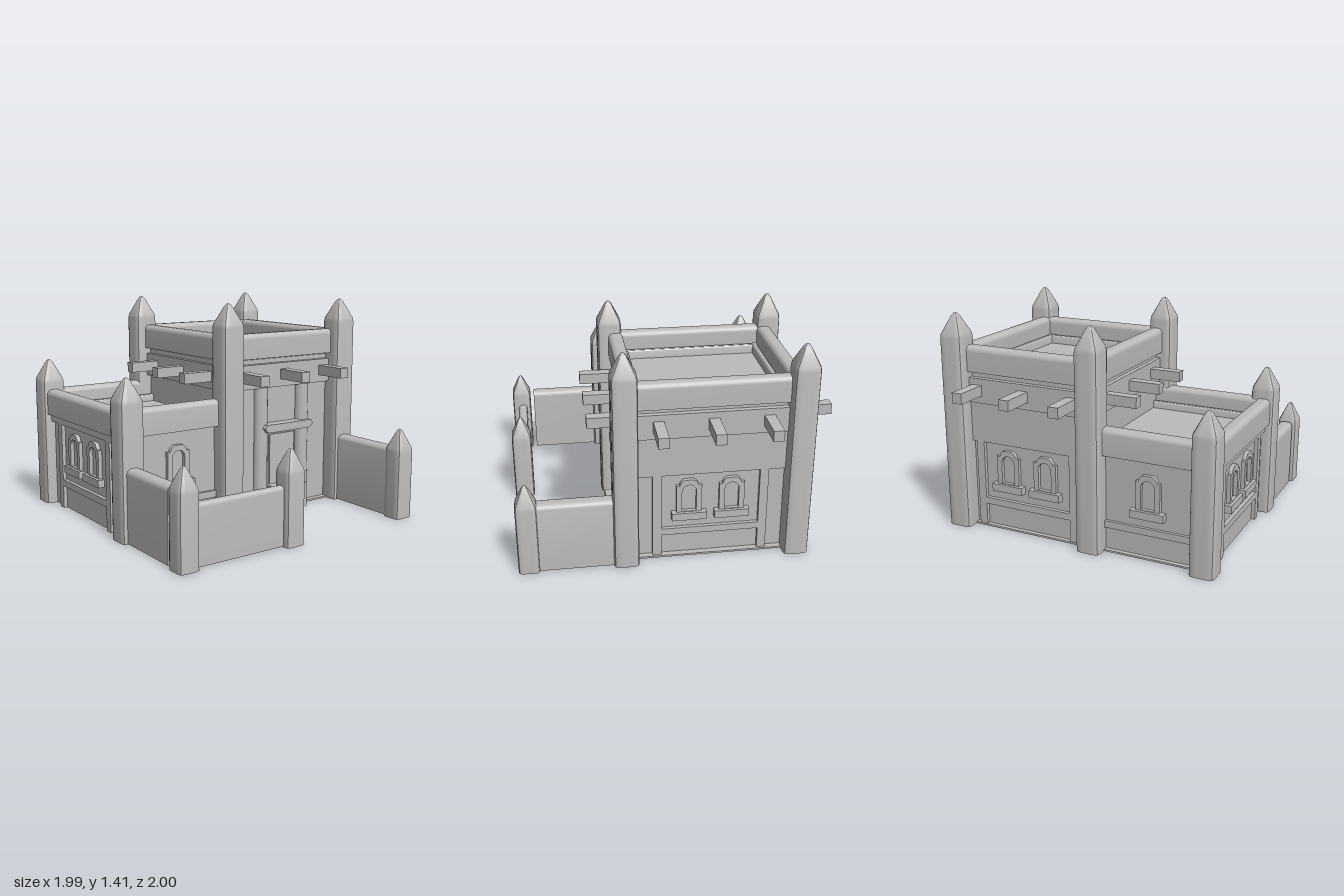
import * as THREE from 'three';
import { toCreasedNormals, mergeVertices } from 'three/addons/utils/BufferGeometryUtils.js';

const clay = new THREE.MeshStandardMaterial({ color: 0xbcbcbc, side: THREE.DoubleSide });
clay.name = 'grey clay';

export function createModel() {
  const model = new THREE.Group();
  model.name = 'adobeHouse';

  function add(parent, name, geometry, x = 0, y = 0, z = 0) {
    const mesh = new THREE.Mesh(geometry, clay);
    mesh.name = name;
    mesh.position.set(x, y, z);
    parent.add(mesh);
    return mesh;
  }

  // Box given by its limits on each axis
  function block(parent, name, x0, x1, y0, y1, z0, z1) {
    return add(parent, name, new THREE.BoxGeometry(x1 - x0, y1 - y0, z1 - z0),
      (x0 + x1) / 2, (y0 + y1) / 2, (z0 + z1) / 2);
  }

  // Soft-cornered square post with a pointed cap
  function post(name, x, z, half, height, shoulder) {
    const profile = [[half, 0], [half, shoulder - 0.015], [half * 0.95, shoulder + 0.01],
      [half * 0.27, height - 0.02], [half * 0.12, height - 0.004], [0.0001, height]]
      .map(p => new THREE.Vector2(...p));
    const geo = new THREE.LatheGeometry(profile, 32);
    const pos = geo.attributes.position;
    for (let i = 0; i < pos.count; i++) {
      const px = pos.getX(i), pz = pos.getZ(i), r = Math.hypot(px, pz);
      const c = Math.abs(px / r), s = Math.abs(pz / r);
      const k = Math.pow(c ** 6 + s ** 6, -1 / 6);
      pos.setX(i, px * k);
      pos.setZ(i, pz * k);
    }
    geo.deleteAttribute('uv');
    geo.deleteAttribute('normal');
    add(model, name, toCreasedNormals(mergeVertices(geo, 1e-5), 0.6), x, 0, z);
  }

  // Wall or rail with a rounded top, running along x or z
  function rail(name, axis, from, to, across, thick, y0, y1, round = 0.035) {
    const h = thick / 2, r = Math.min(round, h);
    const s = new THREE.Shape();
    s.moveTo(-h, y0);
    s.lineTo(h, y0);
    s.lineTo(h, y1 - r);
    s.absarc(h - r, y1 - r, r, 0, Math.PI / 2);
    s.lineTo(r - h, y1);
    s.absarc(r - h, y1 - r, r, Math.PI / 2, Math.PI);
    s.lineTo(-h, y0);
    const geo = toCreasedNormals(new THREE.ExtrudeGeometry(s,
      { depth: to - from, bevelEnabled: false, curveSegments: 6 }), 0.7);
    if (axis === 'x') {
      geo.rotateY(Math.PI / 2);
      add(model, name, geo, from, 0, across);
    } else add(model, name, geo, across, 0, from);
  }

  function archPath(path, half, y0, spring) {
    path.moveTo(-half, y0);
    path.lineTo(half, y0);
    path.lineTo(half, spring);
    path.absarc(0, spring, half, 0, Math.PI);
    path.lineTo(-half, y0);
    return path;
  }

  // Arched window surround with a sill, facing local +z
  function windowUnit(parent, x, z) {
    const g = new THREE.Group();
    g.name = 'window';
    g.position.set(x, 0, z);
    parent.add(g);
    const s = new THREE.Shape();
    s.moveTo(-0.08, 0.31);
    s.lineTo(0.08, 0.31);
    s.lineTo(0.08, 0.5);
    s.lineTo(0.06, 0.5);
    s.quadraticCurveTo(0.05, 0.54, 0.02, 0.54);
    s.lineTo(-0.02, 0.54);
    s.quadraticCurveTo(-0.05, 0.54, -0.06, 0.5);
    s.lineTo(-0.08, 0.5);
    s.closePath();
    s.holes.push(archPath(new THREE.Path(), 0.045, 0.32, 0.46));
    add(g, 'windowFrame', new THREE.ExtrudeGeometry(s, { depth: 0.025, bevelEnabled: false, curveSegments: 8 }));
    block(g, 'windowSill', -0.11, 0.11, 0.265, 0.315, 0, 0.045);
  }

  function facade(name, x, z, turn) {
    const g = new THREE.Group();
    g.name = name;
    g.position.set(x, 0, z);
    g.rotation.y = turn;
    model.add(g);
    return g;
  }

  // Wall with raised framing around sunken panels and two windows
  function framedWall(name, x, z, turn, length, top) {
    const g = facade(name, x, z, turn), h = length / 2, d = 0.025;
    block(g, 'header', -h, h, 0.58, top, 0, d);
    block(g, 'midRail', -0.31, 0.31, 0.155, 0.2, 0, d);
    for (const side of [-1, 1]) {
      block(g, 'stud', side * 0.3375 - 0.0275, side * 0.3375 + 0.0275, 0, 0.58, 0, d);
      windowUnit(g, side * 0.135, 0);
    }
  }

  function plainWall(name, x, z, turn) {
    const g = facade(name, x, z, turn);
    block(g, 'baseRail', -0.31, 0.31, 0.155, 0.2, 0, 0.02);
    windowUnit(g, 0, 0);
  }

  // Main masses: tall room and low wing
  block(model, 'floorSlab', -0.92, 0.775, 0, 0.012, -0.78, 0.3);
  block(model, 'tallRoom', -0.15, 0.735, 0.005, 1.03, -0.75, 0.26);
  block(model, 'beamBand', -0.18, 0.77, 0.84, 1.0, -0.785, 0.295);
  block(model, 'lowWing', -0.92, -0.15, 0.005, 0.65, -0.75, 0.26);

  // Parapets with lower inner ledges
  for (const z of [-0.75, 0.263]) {
    rail('tallParapet', 'x', -0.17, 0.76, z, 0.096, 1.04, 1.205);
    rail('lowParapet', 'x', -0.92, -0.17, z, 0.096, 0.63, 0.8);
    const inner = z < 0 ? -0.685 : 0.198;
    rail('tallLedge', 'x', -0.1, 0.7, inner, 0.036, 1.0, 1.09);
    rail('lowLedge', 'x', -0.88, -0.15, inner, 0.036, 0.62, 0.7);
  }
  for (const x of [-0.143, 0.737])
    rail('tallParapet', 'z', -0.78, 0.3, x, 0.096, 1.04, 1.205);
  rail('lowParapet', 'z', -0.78, 0.3, -0.92, 0.1, 0.63, 0.8);
  for (const x of [-0.077, 0.672])
    rail('tallLedge', 'z', -0.7, 0.215, x, 0.036, 1.0, 1.09);
  rail('lowLedge', 'z', -0.7, 0.215, -0.852, 0.036, 0.62, 0.7);

  // Corner posts of the house
  for (const z of [-0.782, 0.302]) {
    post('lowPost', -0.915, z, 0.08, 1.0, 0.86);
    post('tallPost', -0.172, z, 0.08, 1.41, 1.27);
    post('tallPost', 0.775, z, 0.08, 1.41, 1.27);
  }

  // Roof beam ends on all four sides
  for (const x of [-0.038, 0.3, 0.637]) {
    block(model, 'beamFront', x - 0.034, x + 0.034, 0.89, 0.958, 0.25, 0.516);
    block(model, 'beamBack', x - 0.034, x + 0.034, 0.89, 0.958, -1.0, -0.74);
  }
  for (const z of [-0.582, -0.242, 0.094]) {
    block(model, 'beamLeft', 0.72, 0.99, 0.89, 0.958, z - 0.033, z + 0.033);
    block(model, 'beamRight', -0.39, -0.14, 0.89, 0.958, z - 0.033, z + 0.033);
  }

  // Window walls
  framedWall('leftWall', 0.735, -0.235, Math.PI / 2, 0.94, 0.84);
  framedWall('backWall', 0.3, -0.75, Math.PI, 0.8, 0.84);
  framedWall('wingSideWall', -0.92, -0.235, -Math.PI / 2, 0.94, 0.64);
  plainWall('wingFrontWall', -0.54, 0.26, 0);
  plainWall('wingBackWall', -0.54, -0.75, Math.PI);

  // Doorway: round columns, door, sloped awning and step
  for (const x of [0.122, 0.475])
    add(model, 'doorColumn', new THREE.CylinderGeometry(0.052, 0.052, 0.84, 20), x, 0.425, 0.258);
  block(model, 'door', 0.195, 0.405, 0.01, 0.515, 0.255, 0.275);
  block(model, 'doorStep', 0.168, 0.436, 0.005, 0.17, 0.25, 0.383);
  const awning = new THREE.Shape([[0.13, 0.542], [0.495, 0.542], [0.52, 0.57], [0.505, 0.595], [0.125, 0.595], [0.108, 0.57]]
    .map(p => new THREE.Vector2(...p)));
  add(model, 'awning', new THREE.ExtrudeGeometry(awning, { depth: 0.09, bevelEnabled: false }), 0, 0, 0.25);

  // Yard walls and posts
  rail('yardWallRight', 'z', 0.3, 0.837, -0.916, 0.1, 0.005, 0.465);
  rail('yardWallLeft', 'z', 0.3, 0.86, 0.773, 0.104, 0.005, 0.465);
  rail('yardWallFront', 'x', -0.92, -0.17, 0.923, 0.064, 0.005, 0.372, 0.025);
  post('yardPost', -0.92, 0.93, 0.067, 0.592, 0.46);
  post('yardPost', -0.168, 0.93, 0.067, 0.592, 0.46);
  post('yardPost', 0.774, 0.907, 0.067, 0.592, 0.46);

  return model;
}
